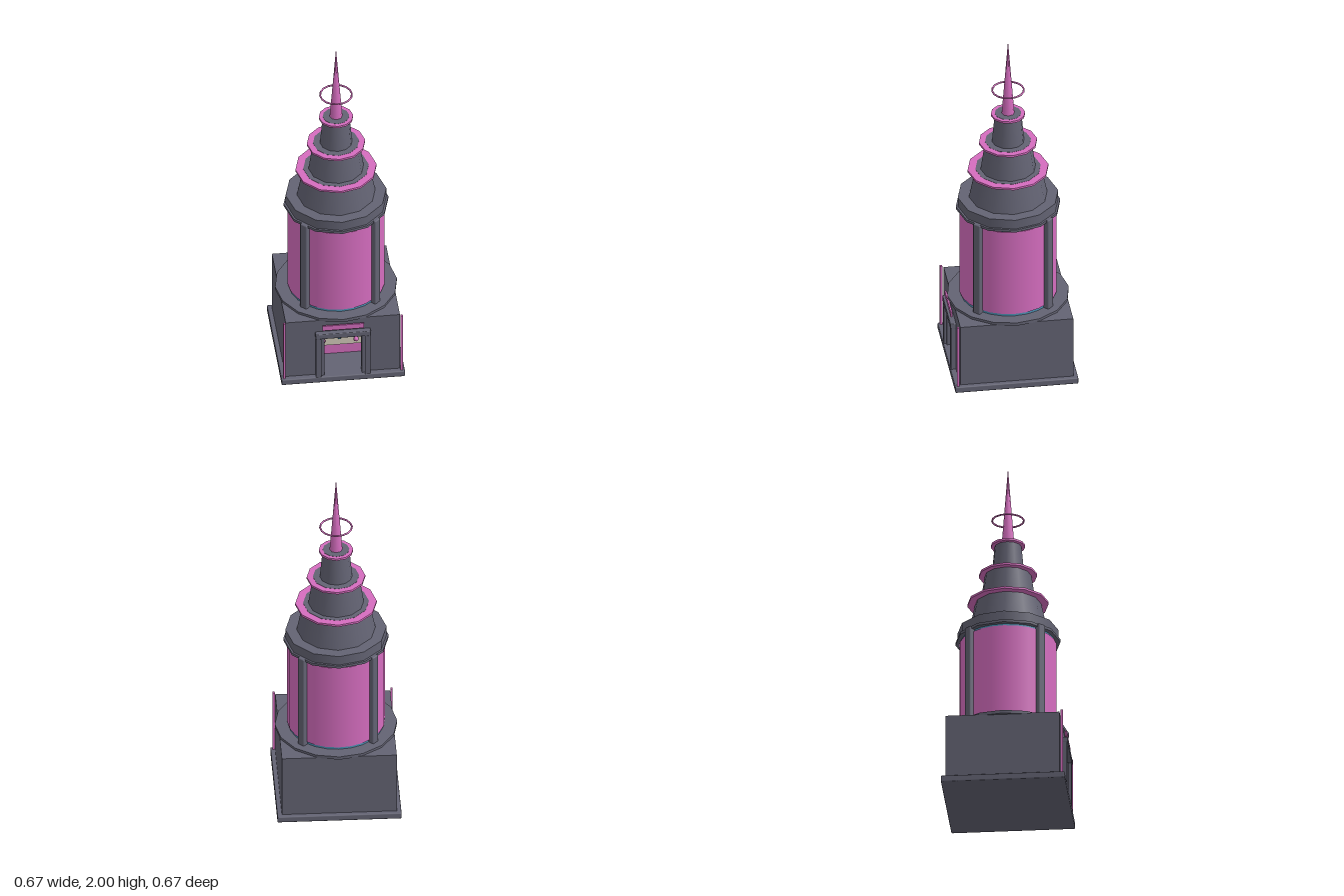
import * as THREE from 'three';
import { RoundedBoxGeometry } from 'three/addons/geometries/RoundedBoxGeometry.js';

const mat = (name, color) => {
  const m = new THREE.MeshStandardMaterial({ color });
  m.name = name;
  return m;
};

export function createModel() {
  const model = new THREE.Group();
  model.name = 'tower';
  const stone = mat('slate grey', 0x636373);
  const pink = mat('neon pink', 0xd56dbf);
  const blue = mat('soft blue', 0x4f93b5);
  const cream = mat('cream', 0xd3cbbb);

  const add = (name, geo, material, x = 0, y = 0, z = 0) => {
    const m = new THREE.Mesh(geo, material);
    m.name = name;
    m.position.set(x, y, z);
    model.add(m);
    return m;
  };
  // box given by its limits on each axis
  const box = (name, material, x0, x1, y0, y1, z0, z1) =>
    add(name, new THREE.BoxGeometry(x1 - x0, y1 - y0, z1 - z0), material,
      (x0 + x1) / 2, (y0 + y1) / 2, (z0 + z1) / 2);
  // upright round part between two heights
  const drum = (name, material, y0, y1, r0, r1, sides = 12) =>
    add(name, new THREE.CylinderGeometry(r1, r0, y1 - y0, sides), material, 0, (y0 + y1) / 2, 0);

  // base plate
  add('basePlate', new RoundedBoxGeometry(0.67, 0.036, 0.67, 1, 0.006), stone, 0, 0.018, 0);

  // hollow ground floor with a doorway in the front wall
  const front = new THREE.Shape();
  front.moveTo(-0.31, 0.03).lineTo(0.31, 0.03).lineTo(0.31, 0.4).lineTo(-0.31, 0.4);
  const door = new THREE.Path();
  door.moveTo(-0.105, 0.036).lineTo(-0.105, 0.29).lineTo(0.105, 0.29).lineTo(0.105, 0.036);
  front.holes.push(door);
  add('frontWall', new THREE.ExtrudeGeometry(front, { depth: 0.02, bevelEnabled: false }), stone, 0, 0, 0.285);
  box('backWall', stone, -0.31, 0.31, 0.03, 0.4, -0.31, -0.29);
  box('ceiling', stone, -0.29, 0.29, 0.38, 0.4, -0.29, 0.285);
  for (const s of [-1, 1]) {
    const wall = box('sideWall', stone, -0.01, 0.01, 0.03, 0.4, -0.29, 0.285);
    wall.position.x = s * 0.3;
    // door jambs, outer and inner
    const jamb = box('doorJamb', stone, -0.015, 0.015, 0.012, 0.295, 0.3, 0.332);
    jamb.position.x = s * 0.133;
    const inner = box('innerJamb', stone, -0.008, 0.008, 0.036, 0.29, 0.285, 0.318);
    inner.position.x = s * 0.11;
    // glowing corner strips
    box('cornerStrip', pink, -0.006, 0.006, 0.036, 0.405, 0.312, 0.324).position.x = s * 0.318;
  }
  add('doorLintel', new RoundedBoxGeometry(0.3, 0.032, 0.035, 1, 0.005), stone, 0, 0.309, 0.3185);
  box('signPanel', pink, -0.113, 0.113, 0.345, 0.375, 0.319, 0.328);

  // interior seen through the doorway
  box('counterPlinth', pink, -0.2, 0.2, 0.036, 0.1, 0.06, 0.13);
  box('counter', cream, -0.2, 0.2, 0.1, 0.18, 0.05, 0.14);
  box('backPanel', pink, -0.2, 0.2, 0.17, 0.265, -0.289, -0.281);
  add('counterLamp', new THREE.CylinderGeometry(0.012, 0.008, 0.03, 8), blue, 0, 0.163, 0.15);
  for (const s of [-1, 1])
    add('wallLamp', new THREE.SphereGeometry(0.014, 8, 6), pink, s * 0.09, 0.145, 0.16);

  // main shaft: deck, blue core, pink panels and cornice
  drum('deck', stone, 0.396, 0.414, 0.33, 0.33, 16);
  drum('shaftCore', blue, 0.41, 0.97, 0.257, 0.257, 24);
  drum('shaftPanels', pink, 0.43, 0.948, 0.263, 0.263, 24);
  drum('corniceLip', stone, 0.96, 0.975, 0.284, 0.284);
  drum('cornice', stone, 0.97, 1.03, 0.273, 0.273);

  // four diagonal pilasters
  for (let i = 0; i < 4; i++) {
    const a = Math.PI / 4 + i * Math.PI / 2;
    const p = add('pilaster', new RoundedBoxGeometry(0.045, 0.565, 0.035, 1, 0.006), stone,
      Math.sin(a) * 0.27, 0.6925, Math.cos(a) * 0.27);
    p.rotation.y = a;
  }

  // stepped crown: [bottom, top, lower radius, upper radius, ring radius]
  for (const [y0, y1, r0, r1, ring] of [
    [1.03, 1.2, 0.213, 0.178, 0.22],
    [1.2, 1.37, 0.15, 0.125, 0.158],
    [1.37, 1.545, 0.088, 0.072, 0.093],
  ]) {
    drum('crownTier', stone, y0, y1 + 0.001, r0, r1);
    drum('crownRing', pink, y1 - 0.012, y1, ring, ring);
  }

  // spire with halo
  add('spire', new THREE.ConeGeometry(0.035, 0.46, 8), pink, 0, 1.77, 0);
  add('halo', new THREE.TorusGeometry(0.086, 0.005, 8, 16), pink, 0, 1.69, 0).rotation.x = Math.PI / 2;
  return model;
}
